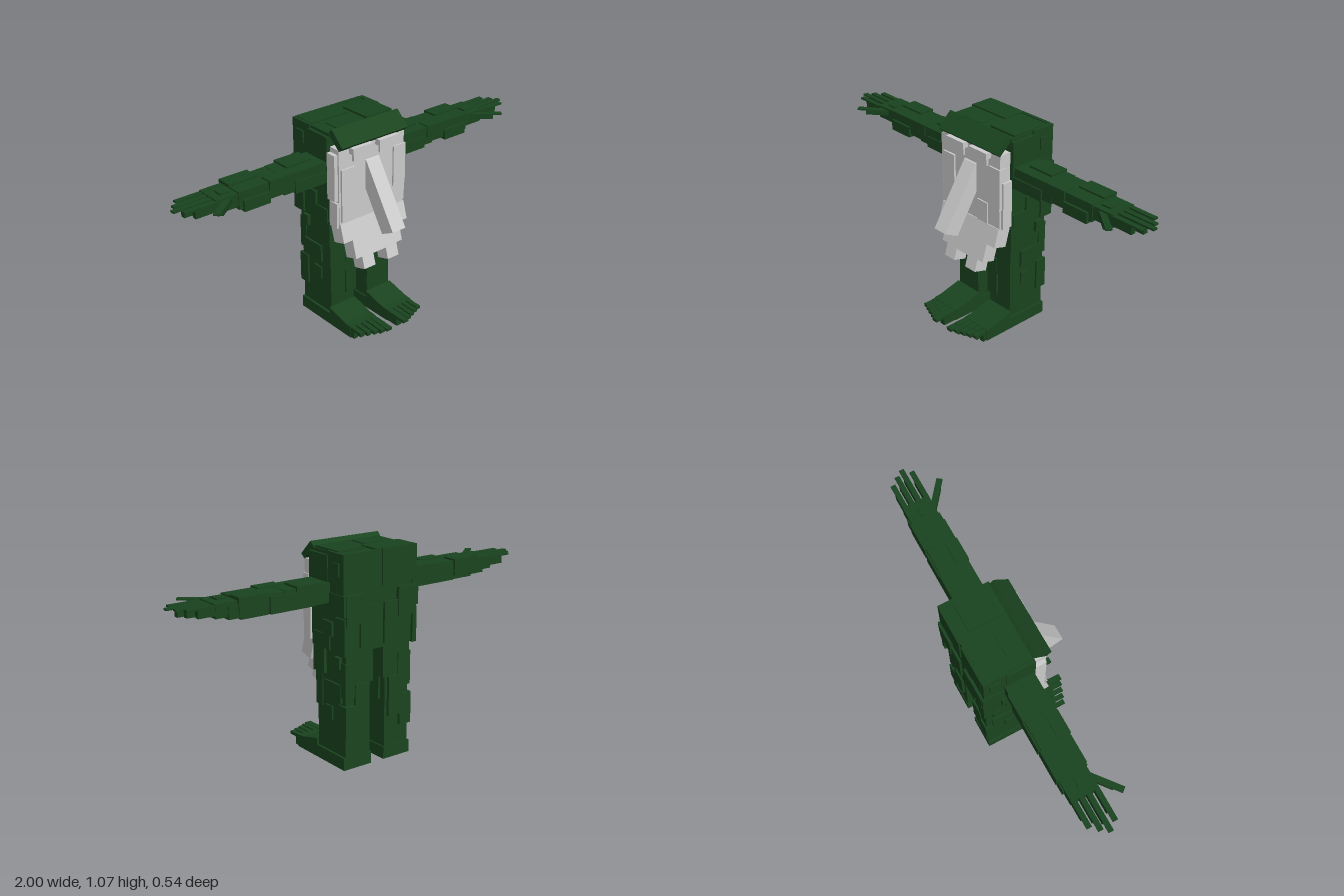
import * as THREE from 'three';

const green = new THREE.MeshStandardMaterial({ color: 0x1a441f, flatShading: true });
const grey = new THREE.MeshStandardMaterial({ color: 0xcccccc, flatShading: true });

function add(parent, geo, mat, name) {
  const m = new THREE.Mesh(geo, mat);
  m.name = name;
  parent.add(m);
  return m;
}

// Box given by its bounds; s = -1 mirrors it across x = 0
function box(parent, name, mat, [x0, x1, y0, y1, z0, z1], s = 1) {
  const m = add(parent, new THREE.BoxGeometry(x1 - x0, y1 - y0, z1 - z0), mat, name);
  m.position.set(s * (x0 + x1) / 2, (y0 + y1) / 2, (z0 + z1) / 2);
  return m;
}

// Side profile of [z, y] points, extruded from x0 to x1
function profile(parent, name, mat, pts, x0, x1) {
  const shape = new THREE.Shape(pts.map(([z, y]) => new THREE.Vector2(-z, y)));
  const geo = new THREE.ExtrudeGeometry(shape, { depth: x1 - x0, bevelEnabled: false });
  geo.rotateY(Math.PI / 2).translate(x0, 0, 0);
  return add(parent, geo, mat, name);
}

function group(parent, name) {
  const g = new THREE.Group();
  g.name = name;
  parent.add(g);
  return g;
}

function buildTorso(root) {
  const g = group(root, 'torso');
  box(g, 'torsoBlock', green, [-0.205, 0.205, 0.58, 1.045, -0.25, 0.005]);
  // Raised fur plates on the sides
  const sides = [
    [0.215, 0.86, 1.05, -0.255, -0.13], [0.222, 0.945, 1.005, -0.225, -0.17],
    [0.215, 0.575, 0.75, -0.262, -0.19], [0.22, 0.76, 0.86, -0.265, -0.08],
    [0.217, 0.65, 0.72, -0.165, -0.09], [0.212, 0.58, 0.65, -0.14, -0.01],
    [0.22, 0.8, 1.03, -0.14, 0.005]];
  for (const s of [-1, 1]) {
    for (const [x, y0, y1, z0, z1] of sides) box(g, 'sideFur', green, [0.19, x, y0, y1, z0, z1], s);
    // Back plates
    box(g, 'backFur', green, [0.02, 0.12, 0.6, 0.8, -0.262, -0.24], s);
    box(g, 'backFur', green, [0.1, 0.205, 0.72, 0.86, -0.268, -0.24], s);
    box(g, 'backFur', green, [0.01, 0.19, 0.88, 1.05, -0.257, -0.24], s);
  }
  // Crown plates
  box(g, 'crownFur', green, [-0.2, 0.02, 1.03, 1.053, -0.25, -0.13]);
  box(g, 'crownFur', green, [0.04, 0.2, 1.03, 1.055, -0.19, -0.02]);
  box(g, 'crownFur', green, [-0.14, -0.02, 1.03, 1.05, -0.1, -0.01]);
}

function buildFace(root) {
  const g = group(root, 'face');
  profile(g, 'brow', green, [[0.02, 1.068], [0.095, 0.997], [0.07, 0.975], [0, 1.035], [0, 1.05]], -0.2, 0.2);
  box(g, 'facePlate', grey, [-0.2, 0.2, 0.58, 0.98, 0, 0.068]);
  // Cheek plates, raised at the sides and front
  box(g, 'cheek', grey, [-0.22, -0.13, 0.72, 0.955, 0.005, 0.06]);
  box(g, 'cheek', grey, [-0.212, -0.19, 0.58, 0.71, 0.01, 0.065]);
  box(g, 'cheek', grey, [0.18, 0.215, 0.6, 0.84, 0.005, 0.06]);
  box(g, 'cheek', grey, [0.13, 0.205, 0.7, 0.91, 0.03, 0.076]);
  box(g, 'cheek', grey, [-0.19, -0.11, 0.61, 0.88, 0.03, 0.078]);
  box(g, 'cheek', grey, [0.05, 0.12, 0.6, 0.71, 0.03, 0.075]);
  for (const s of [-1, 1]) {
    box(g, 'eyelid', grey, [0.02, 0.14, 0.95, 0.98, 0.05, 0.1], s);
    box(g, 'eye', grey, [0.04, 0.12, 0.905, 0.95, 0.05, 0.08], s);
  }
  profile(g, 'nose', grey, [[0.265, 0.582], [0.19, 0.545], [0.06, 0.755], [0.06, 0.895], [0.075, 0.885]], -0.04, 0.04);

  // Stepped beard hanging forward from the chin
  const half = [[0.2, 0], [0.2, -0.095], [0.147, -0.095], [0.147, -0.19], [0.11, -0.19], [0.11, -0.255], [0.04, -0.255], [0.04, -0.195]];
  const pts = [...half, ...half.map(([x, y]) => [-x, y]).reverse()];
  const geo = new THREE.ExtrudeGeometry(
    new THREE.Shape(pts.map(p => new THREE.Vector2(...p))), { depth: 0.075, bevelEnabled: false });
  const beard = add(g, geo, grey, 'beard');
  beard.position.set(0, 0.582, 0.003);
  beard.rotation.x = -0.277;
}

function buildLeg(root, s) {
  const g = group(root, s > 0 ? 'leftLeg' : 'rightLeg');
  box(g, 'legBlock', green, [0.045, 0.188, 0.05, 0.6, -0.235, -0.018], s);
  box(g, 'thigh', green, [0.03, 0.19, 0.42, 0.6, -0.24, -0.012], s);
  const plates = [
    [0.17, 0.205, 0.45, 0.58, -0.09, -0.003], [0.17, 0.207, 0.5, 0.555, -0.21, -0.17],
    [0.17, 0.2, 0.33, 0.42, -0.21, -0.08], [0.17, 0.197, 0.23, 0.295, -0.14, -0.085],
    [0.13, 0.198, 0.16, 0.32, -0.25, -0.19], [0.06, 0.14, 0.22, 0.42, -0.25, -0.2],
    [0.12, 0.195, 0.36, 0.53, -0.245, -0.2], [0.035, 0.1, 0.15, 0.36, -0.06, -0.008],
    [0.1, 0.195, 0.28, 0.5, -0.06, -0.01], [0.035, 0.08, 0.3, 0.42, -0.2, -0.1]];
  for (const p of plates) box(g, 'legFur', green, p, s);

  // Foot with sloping instep and five clawed toes
  const [a, b] = s > 0 ? [0.038, 0.2] : [-0.2, -0.038];
  profile(g, 'foot', green, [[-0.24, 0], [0.145, 0], [0.145, 0.062], [0.105, 0.065], [-0.018, 0.096], [-0.018, 0.062], [-0.24, 0.062]], a, b);
  for (let i = 0; i < 5; i++) {
    const x = 0.055 + i * 0.0325, w = i ? 0.012 : 0.016;
    const end = 0.268 - i * 0.0125;
    box(g, 'toe', green, [x - w, x + w, 0.003, 0.06, 0.13, end - 0.05], s);
    box(g, 'toeClaw', green, [x - w, x + w, 0.042, 0.058, 0.14, end], s);
  }
}

function buildArm(root, s) {
  const g = group(root, s > 0 ? 'leftArm' : 'rightArm');
  box(g, 'upperArm', green, [0.19, 0.46, 0.812, 0.905, -0.152, -0.002], s);
  box(g, 'forearm', green, [0.44, 0.7, 0.818, 0.903, -0.15, -0.005], s);
  box(g, 'hand', green, [0.68, 0.81, 0.832, 0.897, -0.148, -0.01], s);
  const plates = [
    [0.22, 0.4, 0.803, 0.86, -0.13, 0.005], [0.26, 0.4, 0.86, 0.915, -0.16, -0.06],
    [0.54, 0.68, 0.806, 0.86, -0.14, 0.008], [0.3, 0.54, 0.81, 0.89, -0.16, -0.1],
    [0.55, 0.7, 0.83, 0.912, -0.16, -0.08], [0.4, 0.55, 0.805, 0.83, -0.12, -0.03],
    [0.42, 0.54, 0.85, 0.91, -0.06, 0.004], [0.66, 0.75, 0.82, 0.88, -0.155, -0.04],
    [0.72, 0.77, 0.84, 0.905, -0.09, -0.04]];
  for (const p of plates) box(g, 'armFur', green, p, s);

  // Four fingers, each with a thin claw on top
  [[-0.02, 0.968], [-0.06, 1], [-0.096, 0.975], [-0.134, 0.942]].forEach(([z, end]) => {
    box(g, 'finger', green, [0.79, end - 0.05, 0.846, 0.89, z - 0.0125, z + 0.0125], s);
    box(g, 'fingerClaw', green, [0.8, end, 0.883, 0.892, z - 0.0125, z + 0.0125], s);
  });

  // Thumb angled forward
  const thumb = group(g, 'thumb');
  thumb.position.set(s * 0.745, 0, -0.018);
  thumb.rotation.y = s > 0 ? -0.67 : Math.PI + 0.67;
  box(thumb, 'thumbBlock', green, [-0.02, 0.115, 0.86, 0.888, -0.015, 0.015]);
  box(thumb, 'thumbClaw', green, [0.1, 0.16, 0.881, 0.889, -0.015, 0.015]);
}

export function createModel() {
  const root = new THREE.Group();
  root.name = 'blockyCreature';
  buildTorso(root);
  buildFace(root);
  for (const s of [1, -1]) {
    buildLeg(root, s);
    buildArm(root, s);
  }
  return root;
}
